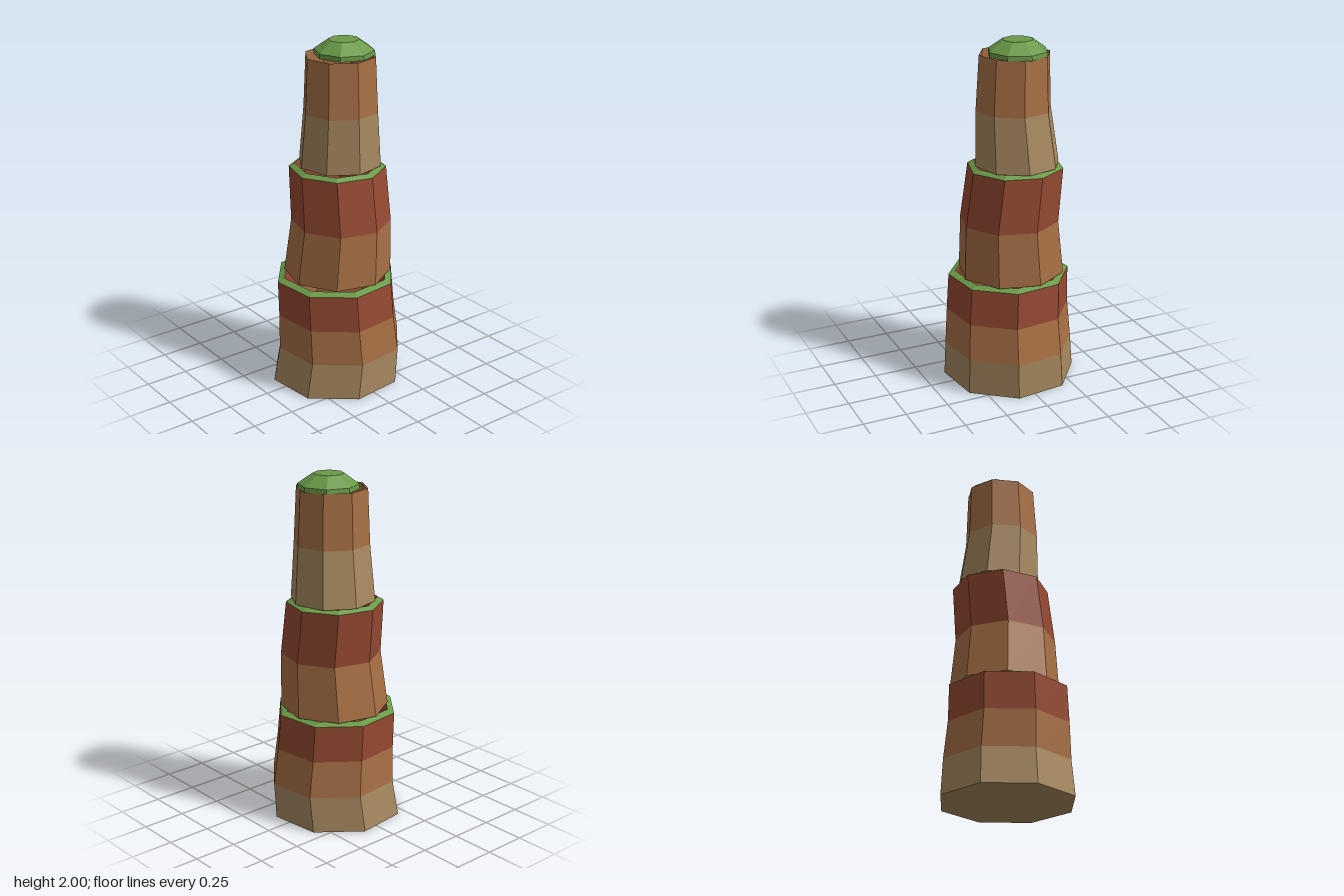
import * as THREE from 'three';

const SIDES = 8;
const COLORS = { tan: 0xa8895f, brown: 0xa87045, red: 0x964a32, green: 0x6a9a48 };

// One octagonal cross-section: height, centre x / z, radius, turn in degrees
function ring([y, cx, cz, r], turn) {
  return Array.from({ length: SIDES }, (_, i) => {
    const a = THREE.MathUtils.degToRad(turn) + (i / SIDES) * Math.PI * 2;
    return new THREE.Vector3(cx + r * Math.cos(a), y, cz + r * Math.sin(a));
  });
}

// Triangles of the wall between two rings, facing outward
function wall(low, high) {
  return low.flatMap((p, i) => {
    const j = (i + 1) % SIDES;
    return [low[j], p, high[i], low[j], high[i], high[j]];
  });
}

// Triangles closing a ring, facing up or down
function cap(points, up) {
  const c = new THREE.Vector3();
  points.forEach((p) => c.addScaledVector(p, 1 / SIDES));
  return points.flatMap((p, i) => {
    const q = points[(i + 1) % SIDES];
    return up ? [c, q, p] : [c, p, q];
  });
}

function addMesh(parent, name, triangles, color) {
  const geometry = new THREE.BufferGeometry().setFromPoints(triangles);
  geometry.computeVertexNormals();
  const material = new THREE.MeshStandardMaterial({
    color: COLORS[color], flatShading: true, side: THREE.DoubleSide,
  });
  const mesh = new THREE.Mesh(geometry, material);
  mesh.name = name;
  parent.add(mesh);
}

// Each tier is an open, slightly crooked tub: a floor and coloured wall bands
const TIERS = [
  {
    name: 'lowerTier', turn: 16, bands: ['tan', 'brown', 'red'],
    rings: [[0, -0.01, 0, 0.383], [0.21, 0.01, 0.012, 0.37], [0.42, -0.005, 0.01, 0.355], [0.63, -0.012, 0, 0.348]],
    rim: [0.647, -0.012, 0, 0.308],
  },
  {
    name: 'middleTier', turn: -8, bands: ['brown', 'red'],
    rings: [[0.65, 0.007, -0.005, 0.306], [0.965, 0.02, 0.012, 0.283], [1.275, 0.022, -0.025, 0.273]],
    rim: [1.293, 0.022, -0.025, 0.24],
  },
  {
    name: 'upperTier', turn: 9, bands: ['tan', 'brown'],
    rings: [[1.295, 0.042, -0.03, 0.24], [1.61, 0.032, -0.01, 0.215], [1.92, 0.035, -0.015, 0.2]],
  },
];

export function createModel() {
  const model = new THREE.Group();
  model.name = 'tieredTower';

  for (const { name, turn, bands, rings, rim } of TIERS) {
    const tier = new THREE.Group();
    tier.name = name;
    const loops = rings.map((r) => ring(r, turn));
    addMesh(tier, 'floor', cap(loops[0], false), 'tan');
    bands.forEach((color, i) => addMesh(tier, `${color}Band`, wall(loops[i], loops[i + 1]), color));
    // Sloping grass rim around the open top
    if (rim) addMesh(tier, 'grassRim', wall(loops.at(-1), ring(rim, turn)), 'green');
    model.add(tier);
  }

  // Grassy cap on the summit: short upright edge, slope and flat top
  const [base, edge, top] = [
    [1.915, 0.065, -0.02, 0.17], [1.942, 0.065, -0.02, 0.168], [2, 0.063, -0.021, 0.086],
  ].map((r) => ring(r, -1));
  addMesh(model, 'summitCap',
    [...cap(base, false), ...wall(base, edge), ...wall(edge, top), ...cap(top, true)], 'green');

  return model;
}
